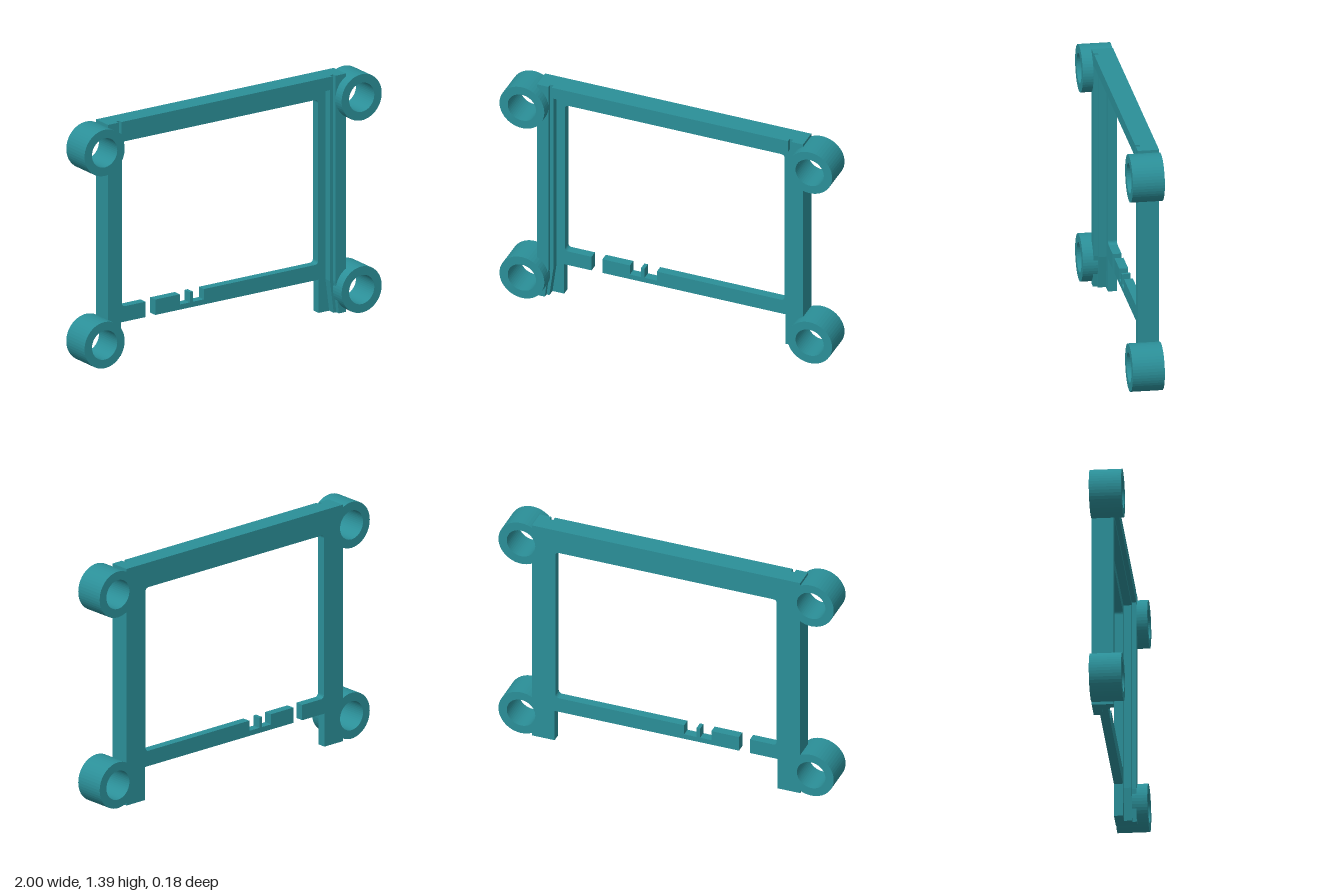
import * as THREE from 'three';

const TOP = 1.395, BACK = -0.09, SEAT = -0.04, LEDGE = 0.005, FRONT = 0.03;
const RING_X = 0.865, RING_Y = [0.135, 1.26], RING_R = 0.135, HOLE_R = 0.085, OUTER = 0.8;

// arc as a list of [x, y] points
function arc(cx, cy, r, a0, a1, n) {
  return Array.from({ length: n + 1 }, (_, i) => {
    const a = a0 + (a1 - a0) * i / n;
    return [cx + r * Math.cos(a), cy + r * Math.sin(a)];
  });
}

// outer edge of a side post, top to bottom, scooped where the screw holes pass
function outerEdge() {
  const h = Math.acos((RING_X - OUTER) / HOLE_R);
  const scoop = y => arc(RING_X, y, HOLE_R, Math.PI - h, Math.PI + h, 10);
  return [[OUTER, TOP], ...scoop(RING_Y[1]), ...scoop(RING_Y[0]), [OUTER, 0]];
}

const mirror = pts => pts.map(([x, y]) => [-x, y]).reverse();

export function createModel() {
  const group = new THREE.Group();
  group.name = 'displayBracket';
  const teal = new THREE.MeshStandardMaterial({ color: 0x2b8f98 });
  teal.name = 'teal';

  // flat slab with the given outline, from z0 to z1
  function slab(name, pts, z0, z1, hole) {
    const shape = new THREE.Shape(pts.map(p => new THREE.Vector2(...p)));
    if (hole) shape.holes.push(new THREE.Path(hole.map(p => new THREE.Vector2(...p))));
    const geo = new THREE.ExtrudeGeometry(shape, { depth: z1 - z0, bevelEnabled: false });
    geo.translate(0, 0, z0);
    const mesh = new THREE.Mesh(geo, teal);
    mesh.name = name;
    group.add(mesh);
  }
  const rect = (x0, x1, y0, y1) => [[x0, y0], [x1, y0], [x1, y1], [x0, y1]];

  // back frame: one outline, open at the gap in the lower bar
  const r = 0.02, ix = 0.66, barLow = 0.195, barTop = 0.285, openTop = 1.25;
  const fillet = (x, y, a) => arc(x, y, r, a, a - Math.PI / 2, 5);
  slab('backFrame', [
    ...outerEdge(),
    [0.665, 0], [0.665, barLow], [-0.435, barLow], [-0.435, barTop],
    // two small notches in the lower bar
    [-0.27, barTop], [-0.27, 0.225], [-0.203, 0.225], [-0.203, barTop],
    [-0.182, barTop], [-0.182, 0.225], [-0.108, 0.225], [-0.108, barTop],
    // rounded window opening
    ...fillet(ix - r, barTop + r, 0).reverse(),
    ...fillet(ix - r, openTop - r, Math.PI / 2).reverse(),
    ...fillet(-ix + r, openTop - r, Math.PI).reverse(),
    ...fillet(-ix + r, barTop + r, -Math.PI / 2).reverse(),
    [-0.5, barTop], [-0.5, barLow], [-0.665, barLow], [-0.665, 0],
    ...mirror(outerEdge()),
  ], BACK, SEAT);

  // stepped side posts, flared at the lower end
  const post = (inner, foot) => [...outerEdge(), [foot, 0], [inner, 0.19], [inner, TOP]];
  for (const [side, f] of [['left', p => p], ['right', mirror]]) {
    slab(side + 'PostLedge', f(post(0.71, 0.735)), SEAT, LEDGE);
    slab(side + 'PostWall', f(post(0.73, 0.752)), LEDGE, FRONT);
  }

  // stepped top rail, stopping short of the posts to leave relief grooves
  slab('topRailLedge', rect(-0.71, 0.71, 1.308, TOP), SEAT, LEDGE);
  slab('topRailWall', rect(-0.71, 0.71, 1.325, TOP), LEDGE, FRONT);

  // corner mounting rings
  const circle = rad => arc(0, 0, rad, 0, Math.PI * 2, 48).slice(0, -1);
  for (const sx of [1, -1]) for (const y of RING_Y) {
    const at = pts => pts.map(([px, py]) => [px + sx * RING_X, py + y]);
    slab((sx > 0 ? 'left' : 'right') + (y > 1 ? 'Upper' : 'Lower') + 'Ring',
      at(circle(RING_R)), BACK, 0.09, at(circle(HOLE_R)));
  }
  return group;
}
